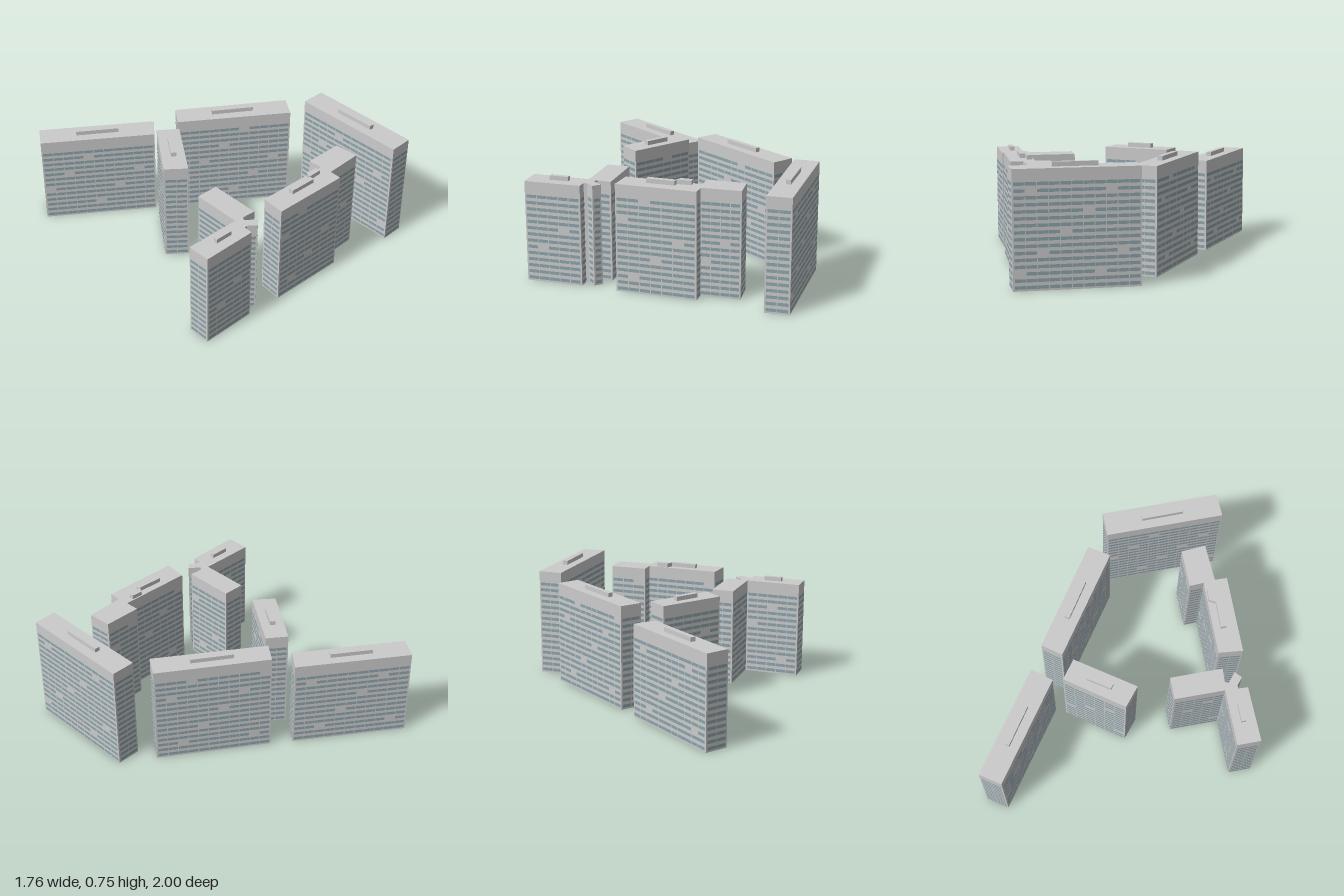
import * as THREE from 'three';
import { mergeGeometries } from 'three/addons/utils/BufferGeometryUtils.js';

const wallMat = new THREE.MeshStandardMaterial({ color: 0xcccccc, flatShading: true });
const glassMat = new THREE.MeshStandardMaterial({ color: 0x8ca4ac });

const FLOOR = 0.041; // storey height
const BAY = 0.068; // window width including the gap

// Footprints as [x, z] corners; roof boxes stand 0.027 proud of the roof
const BUILDINGS = [
  { name: 'backLeftSlab', height: 0.61,
    plan: [[-0.58, -1], [0, -0.5], [-0.11, -0.39], [-0.68, -0.88]],
    roof: [[[-0.435, -0.795], [-0.225, -0.615], [-0.245, -0.59], [-0.46, -0.77]]] },
  { name: 'backRightSlab', height: 0.69,
    plan: [[0.11, -0.4], [0.69, 0.08], [0.59, 0.2], [0.01, -0.29]],
    roof: [[[0.25, -0.205], [0.465, -0.03], [0.445, -0.005], [0.23, -0.18]]] },
  { name: 'courtyardSlab', height: 0.69,
    plan: [[-0.15, -0.33], [-0.04, -0.23], [-0.33, 0.11], [-0.44, 0]],
    roof: [[[-0.2, -0.185], [-0.175, -0.16], [-0.28, -0.035], [-0.305, -0.06]]] },
  { name: 'rightSlab', height: 0.725,
    plan: [[0.72, 0.22], [0.88, 0.235], [0.8, 1], [0.645, 0.99]],
    roof: [[[0.755, 0.47], [0.79, 0.475], [0.76, 0.75], [0.73, 0.745]]] },
  { name: 'frontSlab', height: 0.69,
    plan: [[-0.26, 0.67], [0.24, 0.73], [0.22, 0.885], [-0.29, 0.825]],
    roof: [[[-0.105, 0.735], [0.075, 0.76], [0.07, 0.792], [-0.11, 0.77]],
      [[0.095, 0.72], [0.17, 0.732], [0.167, 0.766], [0.07, 0.757]]] },
  { name: 'frontWing', height: 0.69,
    plan: [[0.235, 0.635], [0.485, 0.66], [0.48, 0.82], [0.225, 0.805]], roof: [] },
  { name: 'leftSlab', height: 0.65,
    plan: [[-0.865, 0.6], [-0.5, 0.64], [-0.52, 0.785], [-0.88, 0.752]],
    roof: [[[-0.73, 0.67], [-0.61, 0.683], [-0.615, 0.71], [-0.735, 0.698]]] },
  { name: 'leftWing', height: 0.65,
    plan: [[-0.465, 0.313], [-0.32, 0.33], [-0.355, 0.67], [-0.5, 0.645]], roof: [] },
  { name: 'stairTower', height: 0.65,
    plan: [[-0.51, 0.64], [-0.44, 0.65], [-0.46, 0.675], [-0.4, 0.735], [-0.445, 0.77], [-0.49, 0.725], [-0.52, 0.725]],
    roof: [] },
];

// Upright prism on a footprint
function prism(plan, y, height) {
  const shape = new THREE.Shape(plan.map(([x, z]) => new THREE.Vector2(x, -z)));
  const geometry = new THREE.ExtrudeGeometry(shape, { depth: height, bevelEnabled: false });
  return geometry.rotateX(-Math.PI / 2).translate(0, y, 0);
}

// Rows of glazing on every wall, with occasional blank bays
function windows(plan, height) {
  const panes = [];
  const rows = Math.floor((height - 0.04) / FLOOR);
  plan.forEach(([x1, z1], wall) => {
    const [x2, z2] = plan[(wall + 1) % plan.length];
    const length = Math.hypot(x2 - x1, z2 - z1);
    if (length < 0.05) return;
    const nx = (z2 - z1) / length, nz = -(x2 - x1) / length;
    const bays = Math.max(1, Math.round((length - 0.016) / BAY));
    const width = (length - 0.016) / bays;
    for (let row = 0; row < rows; row++) {
      for (let bay = 0; bay < bays; bay++) {
        const blank = bays > 2 && row % 3 === 2 && (bay * 3 + row * 2 + wall) % 7 === 0;
        if (blank) continue;
        const t = (0.008 + (bay + 0.5) * width) / length;
        panes.push(new THREE.PlaneGeometry(width - 0.004, 0.02)
          .rotateY(Math.atan2(nx, nz))
          .translate(x1 + (x2 - x1) * t + nx * 0.0015, 0.022 + row * FLOOR, z1 + (z2 - z1) * t + nz * 0.0015));
      }
    }
  });
  return mergeGeometries(panes);
}

export function createModel() {
  const model = new THREE.Group();
  model.name = 'apartmentBlocks';
  const add = (group, name, geometry, material) => {
    const mesh = new THREE.Mesh(geometry, material);
    mesh.name = name;
    group.add(mesh);
  };
  for (const { name, height, plan, roof } of BUILDINGS) {
    const building = new THREE.Group();
    building.name = name;
    add(building, 'walls', prism(plan, 0, height), wallMat);
    add(building, 'windows', windows(plan, height), glassMat);
    for (const box of roof) add(building, 'roofHousing', prism(box, height, 0.028), wallMat);
    model.add(building);
  }
  return model;
}
